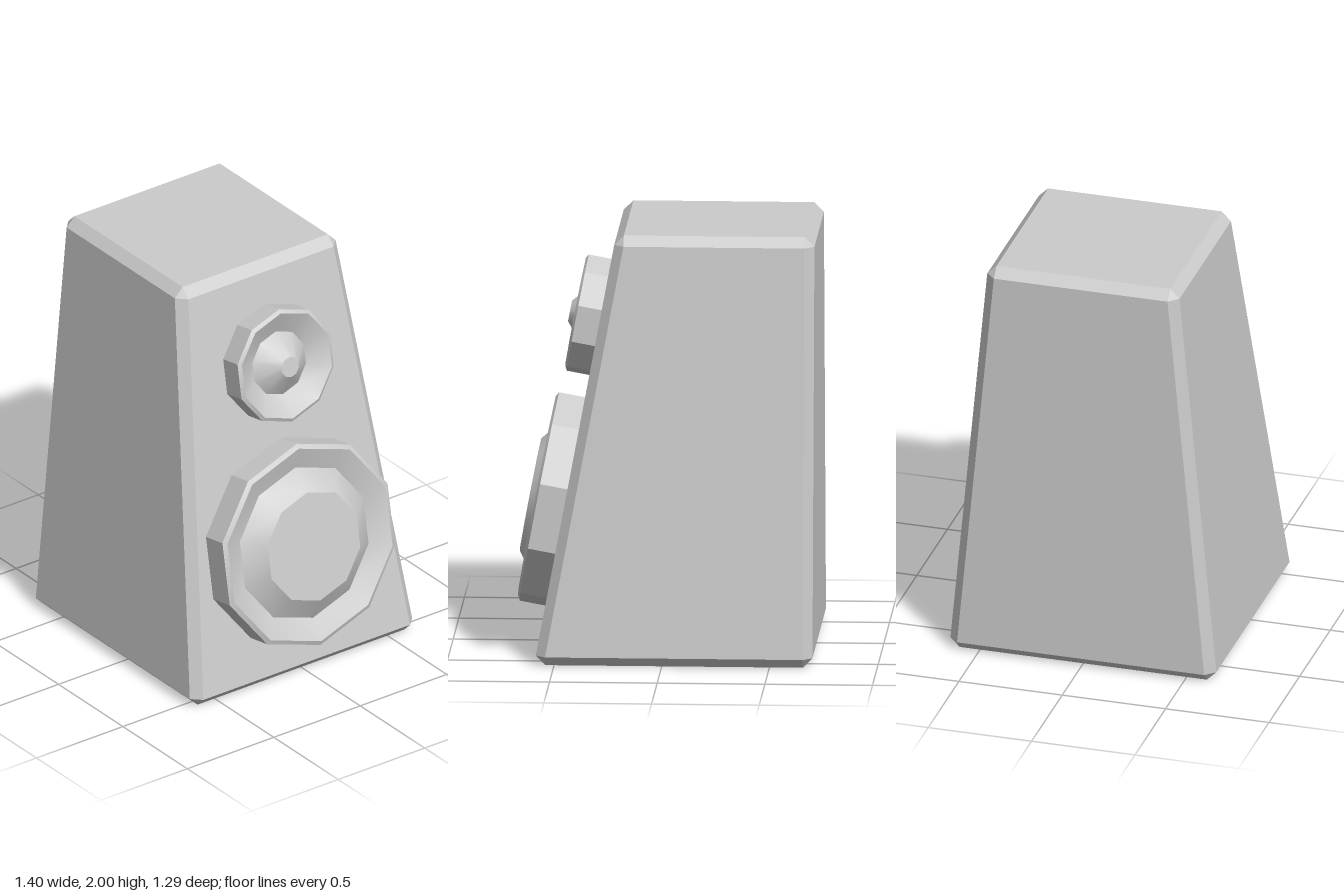
import * as THREE from 'three';
import { ConvexGeometry } from 'three/addons/geometries/ConvexGeometry.js';
import { toCreasedNormals } from 'three/addons/utils/BufferGeometryUtils.js';

const material = new THREE.MeshStandardMaterial({ color: 0xcccccc });
const BEVEL = 0.045;
const TILT = Math.atan(0.1854); // lean of the baffle
const SIDES = 10;

// Tapered cabinet with every edge chamfered: three points per corner
function makeCabinet() {
  const points = [];
  const levels = [
    { y: 0, inner: BEVEL, front: 0.585, half: 0.643 },
    { y: 2, inner: 2 - BEVEL, front: 0.23, half: 0.465 },
  ];
  for (const { y, inner, front, half } of levels) {
    for (const x of [-0.7, front]) {
      const xIn = x - Math.sign(x) * BEVEL;
      for (const side of [-1, 1]) {
        const z = side * half;
        const zIn = side * (half - BEVEL);
        points.push(
          new THREE.Vector3(xIn, y, zIn),
          new THREE.Vector3(x, inner, zIn),
          new THREE.Vector3(xIn, inner, z),
        );
      }
    }
  }
  const mesh = new THREE.Mesh(new ConvexGeometry(points), material);
  mesh.name = 'cabinet';
  return mesh;
}

// Ten-sided driver turned from a [radius, depth] profile, standing on the baffle
function makeDriver(name, y, profile) {
  const points = profile.map(([r, d]) => new THREE.Vector2(r, d));
  const lathe = new THREE.LatheGeometry(points, SIDES, Math.PI / 2);
  const mesh = new THREE.Mesh(toCreasedNormals(lathe, Math.PI / 6), material);
  mesh.name = name;
  mesh.position.set(0.593 - 0.1854 * y, y, 0);
  mesh.rotation.z = TILT - Math.PI / 2;
  return mesh;
}

export function createModel() {
  const group = new THREE.Group();
  group.name = 'loudspeaker';
  group.add(makeCabinet());

  // Rim wall, rim chamfer, sunken surround, raised cone, flat cap
  group.add(makeDriver('tweeter', 1.529, [
    [0.28, -0.02], [0.28, 0.113], [0.262, 0.124], [0.156, 0.062], [0.05, 0.15], [0, 0.15],
  ]));
  group.add(makeDriver('woofer', 0.655, [
    [0.502, -0.02], [0.502, 0.13], [0.48, 0.142], [0.375, 0.095], [0.27, 0.172], [0, 0.172],
  ]));
  return group;
}
